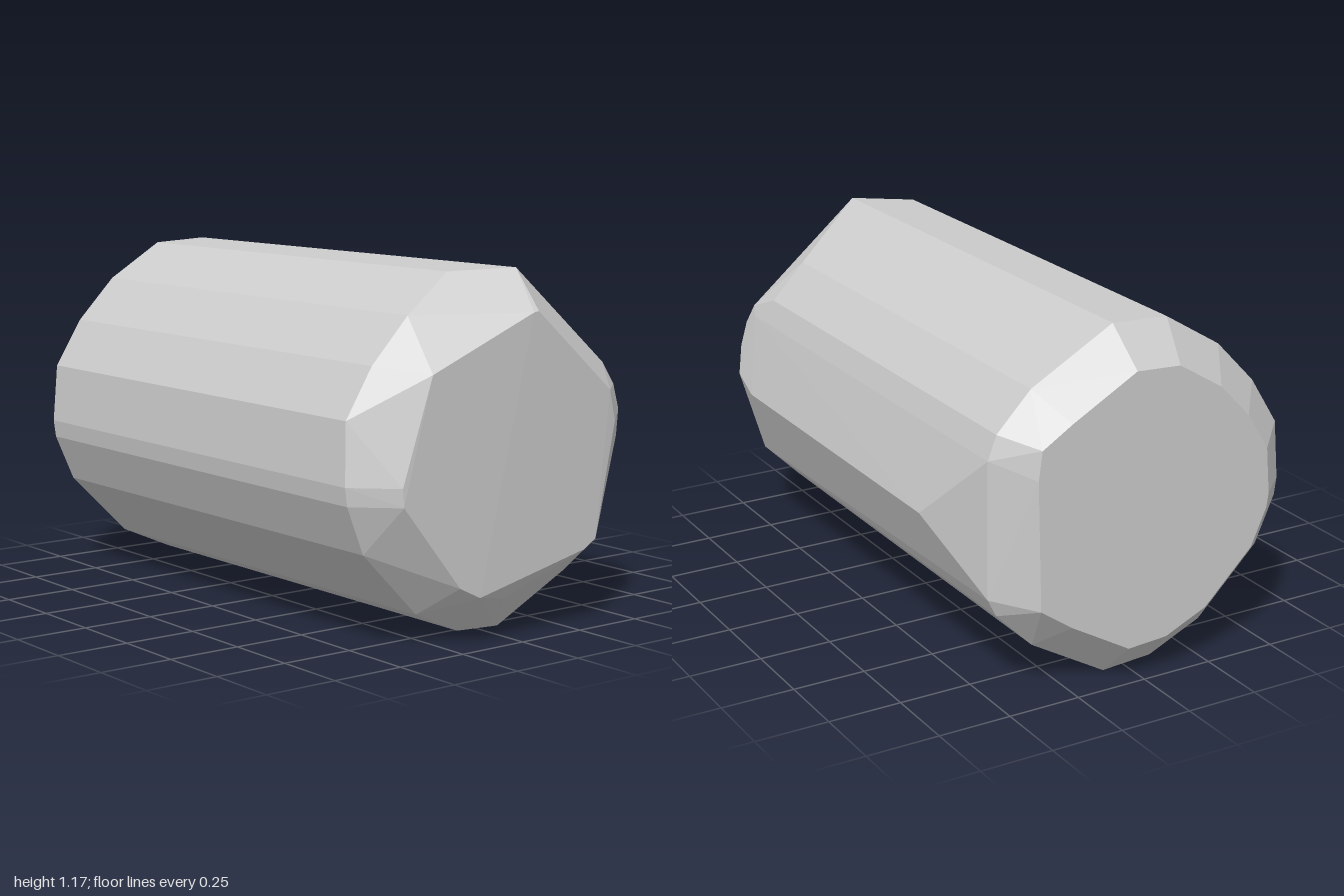
import * as THREE from 'three';
import { ConvexGeometry } from 'three/addons/geometries/ConvexGeometry.js';

export function createModel() {
  const group = new THREE.Group();
  const points = [];
  const add = (x, y, z) => points.push(new THREE.Vector3(x, y, z));

  // Barrel outline: x, y, and the z where each long edge meets the front bevel
  const outline = [
    [0.07, 1.177, 0.87], [0.36, 1.015, 0.7], [0.48, 0.89, 0.7], [0.51, 0.81, 0.8],
    [0.58, 0.55, 0.7], [0.48, 0.29, 0.82], [0.35, 0.16, 0.82], [0.08, 0.003, 0.79],
    [-0.1, 0.015, 0.8], [-0.29, 0.1, 0.82], [-0.51, 0.32, 0.83], [-0.58, 0.48, 0.84],
    [-0.588, 0.54, 0.84], [-0.57, 0.74, 0.82], [-0.47, 0.9, 0.82], [-0.33, 1.045, 0.82],
    [-0.13, 1.167, 0.77],
  ];
  const centreY = 0.59, capScale = 0.79;
  for (const [x, y, zFront] of outline) {
    add(x, y, zFront);
    if (x > 0.55) {
      add(0.586, y, -0.58); // side edge stops short at the rear cut
      continue;
    }
    add(x, y, -0.88);
    add(x * capScale, centreY + (y - centreY) * capScale, -1); // rear cap
  }

  // Rear side cut: rim and cap ends
  for (const [x, y, z] of [[0.51, 0.35, -0.88], [0.39, 0.86, -1], [0.39, 0.33, -1]]) add(x, y, z);

  // Bevelled front end of the side facet
  for (const [x, y, z] of [[0.498, 0.84, 0.83], [0.515, 0.77, 0.865], [0.54, 0.685, 0.865], [0.567, 0.59, 0.83]]) add(x, y, z);

  // Slightly tilted front cap
  const cap = [
    [0.05, 1.05, 1], [0.03, 1.047, 1], [-0.36, 0.88, 0.978], [-0.46, 0.54, 0.96], [-0.455, 0.48, 0.96],
    [-0.23, 0.2, 0.962], [-0.15, 0.16, 0.965], [0.29, 0.26, 0.972], [0.34, 0.29, 0.972],
    [0.41, 0.67, 0.98], [0.38, 0.775, 0.986],
  ];
  for (const [x, y, z] of cap) add(x, y, z);
  add(-0.02, 0.135, 0.93); // lower bevel corner

  const material = new THREE.MeshStandardMaterial({ color: 0xcccccc, flatShading: true });
  const barrel = new THREE.Mesh(new ConvexGeometry(points), material);
  barrel.name = 'facetedBarrel';
  group.add(barrel);
  return group;
}
